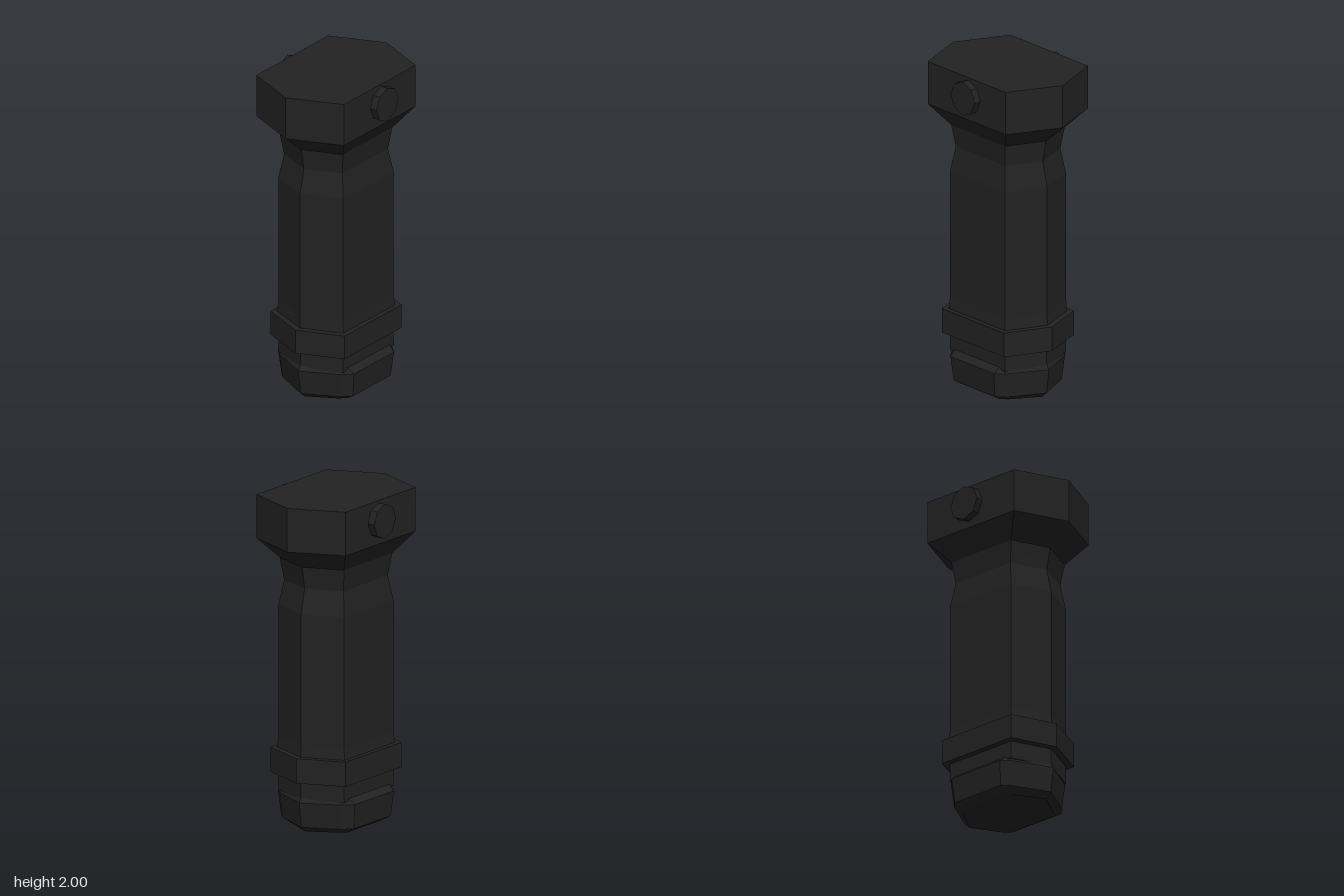
import * as THREE from 'three';

const material = new THREE.MeshStandardMaterial({ color: 0x222222, flatShading: true });

// Elongated hexagon: half width w, half depth d, side corners at z = +-s
const hex = (y, w, d, s) =>
  [[0, d], [w, s], [w, -s], [0, -d], [-w, -s], [-w, s]].map(([x, z]) => new THREE.Vector3(x, y, z));

// Hexagon with its four side corners cut off by a bevel of size c
const cutHex = (y, w, d, s, c) =>
  [[0, d], [w - c, s + c], [w, s], [w, -s], [w - c, -s - c], [0, -d],
    [c - w, -s - c], [-w, -s], [-w, s], [c - w, s + c]].map(([x, z]) => new THREE.Vector3(x, y, z));

// Closed flat-shaded solid through rings listed from bottom to top
function loft(name, rings) {
  const points = [];
  const n = rings[0].length;
  for (let k = 0; k < rings.length - 1; k++) {
    const low = rings[k], high = rings[k + 1];
    for (let i = 0; i < n; i++) {
      const j = (i + 1) % n;
      points.push(low[i], low[j], high[j], low[i], high[j], high[i]);
    }
  }
  const bottom = rings[0], top = rings[rings.length - 1];
  for (let i = 1; i < n - 1; i++) {
    points.push(bottom[0], bottom[i + 1], bottom[i], top[0], top[i], top[i + 1]);
  }
  const geometry = new THREE.BufferGeometry().setFromPoints(points);
  geometry.computeVertexNormals();
  const mesh = new THREE.Mesh(geometry, material);
  mesh.name = name;
  return mesh;
}

export function createModel() {
  const model = new THREE.Group();
  model.name = 'verticalGrip';

  // Wide head flaring out of a narrow waist
  model.add(loft('head', [
    hex(1.61, 0.235, 0.33, 0.235),
    hex(1.735, 0.325, 0.478, 0.34),
    hex(2, 0.325, 0.478, 0.34),
  ]));

  // Handle with the waist at its upper end
  model.add(loft('handle', [
    hex(0.46, 0.246, 0.345, 0.245),
    hex(0.53, 0.24, 0.34, 0.24),
    hex(1.325, 0.24, 0.34, 0.24),
    hex(1.475, 0.217, 0.305, 0.215),
    hex(1.61, 0.235, 0.33, 0.235),
  ]));

  // Raised band and the short neck under it
  model.add(loft('band', [hex(0.31, 0.275, 0.383, 0.272), hex(0.46, 0.275, 0.383, 0.272)]));
  model.add(loft('neck', [hex(0.2, 0.242, 0.338, 0.24), hex(0.31, 0.238, 0.338, 0.24)]));

  // Bevelled end cap
  model.add(loft('endCap', [
    cutHex(0, 0.21, 0.3, 0.165, 0.035),
    cutHex(0.033, 0.265, 0.337, 0.18, 0.05),
    cutHex(0.185, 0.282, 0.357, 0.19, 0.053),
    cutHex(0.22, 0.237, 0.335, 0.2, 0.03),
  ]));

  // Octagonal button on each side of the head
  for (const side of [1, -1]) {
    const button = new THREE.Mesh(new THREE.CylinderGeometry(0.105, 0.105, 0.09, 8), material);
    button.name = side > 0 ? 'leftButton' : 'rightButton';
    button.rotation.z = Math.PI / 2;
    button.position.set(side * 0.325, 1.88, -0.015);
    model.add(button);
  }
  return model;
}
